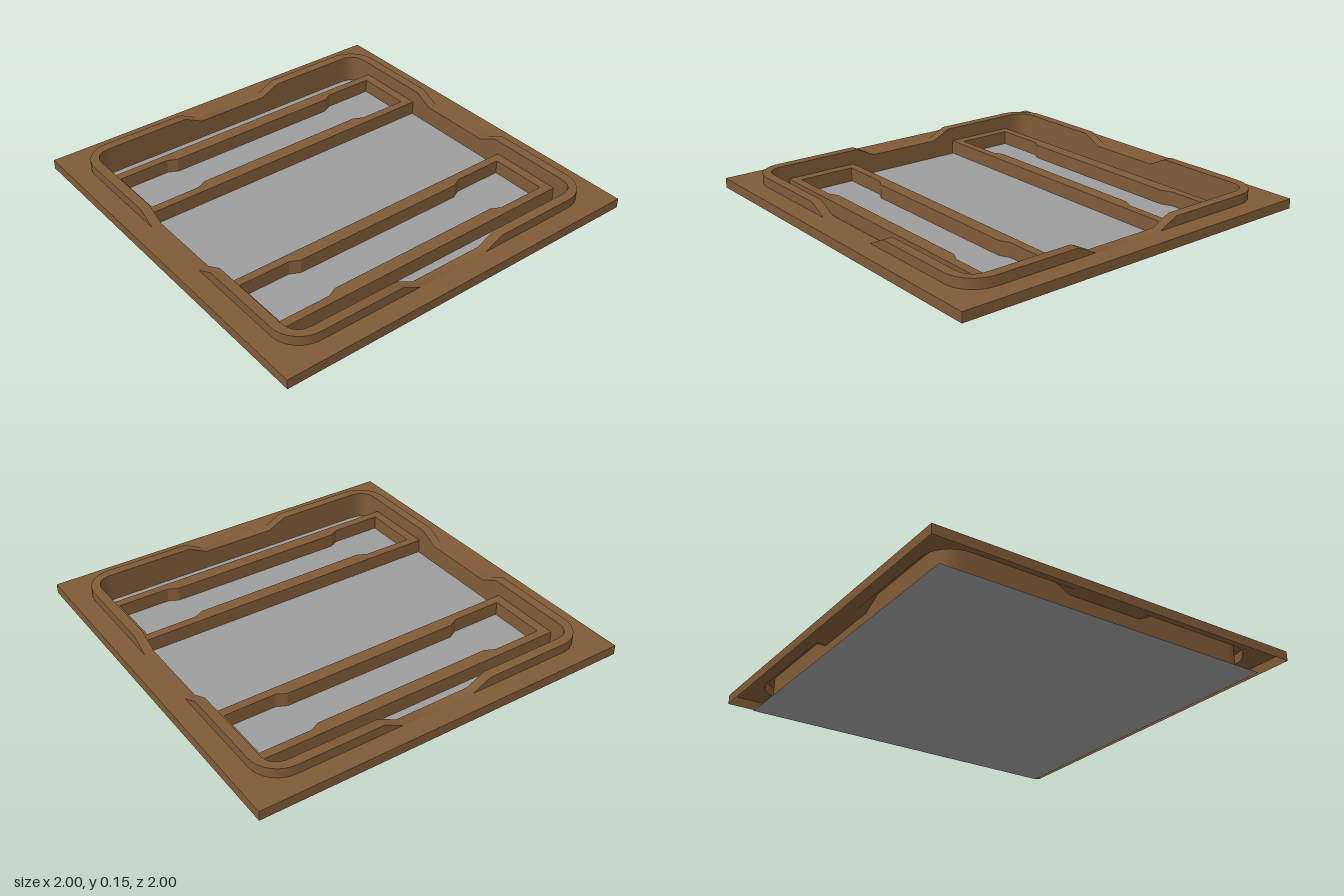
import * as THREE from 'three';
import { toCreasedNormals } from 'three/addons/utils/BufferGeometryUtils.js';

const wood = new THREE.MeshStandardMaterial({ color: 0x805b37, side: THREE.DoubleSide });
const grey = new THREE.MeshStandardMaterial({ color: 0x9e9e9e, side: THREE.DoubleSide });

const DECK = 0.1, RIM = 0.15, C = 0.75; // deck height, rim height, corner centre
const R_IN = 0.1, R_OUT = 0.15;         // corner radii of the rim
const FRAME_H = 0.075;

function add(group, name, geometry, material) {
  const mesh = new THREE.Mesh(geometry, material);
  mesh.name = name;
  group.add(mesh);
  return mesh;
}

// Stations round a rounded square: inner point, outer point and rim height
function rimStations() {
  const side = [];
  for (const t of [-C, -0.3, -0.2, 0.2, 0.3, C]) {
    const k = THREE.MathUtils.clamp((Math.abs(t) - 0.2) / 0.1, 0, 1);
    side.push({ inner: [t, C + R_IN], outer: [t, C + R_OUT], h: DECK + (RIM - DECK) * k });
  }
  for (let i = 1; i < 8; i++) {
    const a = (i / 8) * Math.PI / 2;
    const n = [Math.sin(a), Math.cos(a)];
    // the inner corner is slightly squarer than a circle
    side.push({ inner: n.map((v) => C + R_IN * v ** 0.8), outer: n.map((v) => C + R_OUT * v), h: RIM });
  }
  const out = [];
  let turn = (v) => v;
  for (let k = 0; k < 4; k++) {
    for (const s of side) out.push({ inner: turn(s.inner), outer: turn(s.outer), h: s.h });
    const prev = turn;
    turn = (v) => { const [x, z] = prev(v); return [z, -x]; };
  }
  return out;
}

// Thin-walled rim: inner wall, top and outer wall swept round the stations
function rimGeometry(stations) {
  const rings = stations.map(({ inner, outer, h }) =>
    [[inner, 0], [inner, h], [outer, h], [outer, DECK]].map(([p, y]) =>
      new THREE.Vector3(p[0], y, p[1])));
  const pos = [];
  const tri = (a, b, c) => {
    if (new THREE.Triangle(a, b, c).getArea() < 1e-8) return;
    for (const v of [a, b, c]) pos.push(v.x, v.y, v.z);
  };
  rings.forEach((r, i) => {
    const s = rings[(i + 1) % rings.length];
    for (let j = 0; j < 3; j++) {
      tri(r[j], r[j + 1], s[j + 1]);
      tri(r[j], s[j + 1], s[j]);
    }
  });
  const g = new THREE.BufferGeometry();
  g.setAttribute('position', new THREE.Float32BufferAttribute(pos, 3));
  return toCreasedNormals(g, 0.6);
}

const points = (list) => list.map(([x, y]) => new THREE.Vector2(x, y));
const rect = (x, y0, y1) => points([[-x, y0], [x, y0], [x, y1], [-x, y1]]);

export function createModel() {
  const model = new THREE.Group();
  model.name = 'tray';
  const stations = rimStations();

  // Floor panel
  add(model, 'floorPanel', new THREE.PlaneGeometry(1.8, 1.8).rotateX(-Math.PI / 2), grey);

  // Flat border round the rim
  const deck = new THREE.Shape(rect(1, -1, 1));
  deck.holes.push(new THREE.Path(points(stations.map((s) => s.outer))));
  add(model, 'border', new THREE.ShapeGeometry(deck).rotateX(-Math.PI / 2).translate(0, DECK, 0), wood);

  // Skirt hanging from the border, open below
  for (let k = 0; k < 4; k++) {
    const g = new THREE.PlaneGeometry(2, 0.05).translate(0, 0.075, 1).rotateY(k * Math.PI / 2);
    add(model, 'skirt', g, wood);
  }

  // Raised rim with a notch in each side
  add(model, 'rim', rimGeometry(stations), wood);

  // Two inner frames, their windows narrowed in the middle
  for (const s of [1, -1]) {
    const frame = new THREE.Shape(rect(0.85, -0.195, 0.195));
    frame.holes.push(new THREE.Path(points([
      [-0.8, -0.15], [-0.53, -0.15], [-0.48, -0.125], [0.48, -0.125], [0.53, -0.15], [0.8, -0.15],
      [0.8, 0.15], [0.53, 0.15], [0.48, 0.125], [-0.48, 0.125], [-0.53, 0.15], [-0.8, 0.15]])));
    const g = new THREE.ExtrudeGeometry(frame, { depth: FRAME_H - 0.002, bevelEnabled: false });
    g.rotateX(-Math.PI / 2);
    add(model, s > 0 ? 'frontFrame' : 'backFrame', g, wood).position.set(0, 0.002, s * 0.525);
  }
  return model;
}
